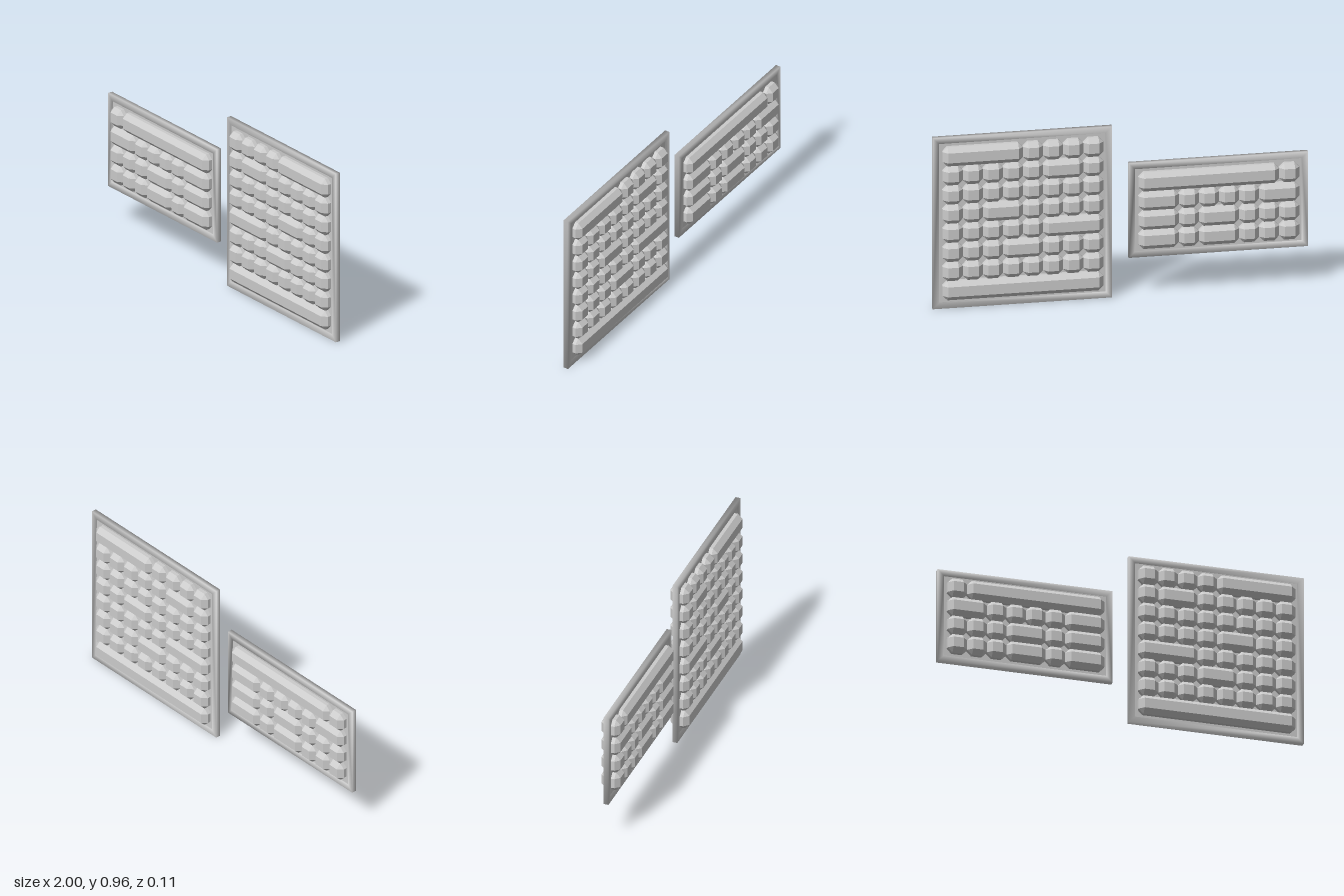
import * as THREE from 'three';
import { ConvexGeometry } from 'three/addons/geometries/ConvexGeometry.js';
import { mergeVertices } from 'three/addons/utils/BufferGeometryUtils.js';

const CELL = 0.107;     // pitch of the bead grid
const CHAMFER = 0.026;
const MARGIN = 0.05;    // from panel edge to first bead
const RIM = 0.034;      // width of the frame

// Each row, top to bottom, lists bead lengths in cells, left to right
const wideRows = [
  [1, 7],
  [2, 1, 1, 1, 1, 2],
  [1, 1, 1, 2, 1, 2],
  [1, 1, 1, 2, 1, 2],
];
const squareRows = [
  [1, 1, 1, 1, 4],
  [1, 2, 1, 1, 1, 1, 1],
  [1, 1, 1, 1, 1, 1, 1, 1],
  [1, 1, 1, 1, 2, 1, 1],
  [3, 1, 1, 1, 1, 1],
  [1, 1, 1, 2, 1, 1, 1],
  [1, 1, 1, 1, 1, 1, 1, 1],
  [8],
];

// Box with every edge and corner cut off
function chamferedBar(length) {
  const half = [length / 2, CELL / 2, CELL / 2];
  const points = [];
  for (const sx of [-1, 1]) for (const sy of [-1, 1]) for (const sz of [-1, 1]) {
    for (let full = 0; full < 3; full++) {
      const [x, y, z] = half.map((h, axis) => (axis === full ? h : h - CHAMFER));
      points.push(new THREE.Vector3(sx * x, sy * y, sz * z));
    }
  }
  return new ConvexGeometry(points);
}

// Rectangular ring with softly shaded edges
function frameGeometry(w, h, depth) {
  const rect = (path, x, y) =>
    path.moveTo(-x, -y).lineTo(x, -y).lineTo(x, y).lineTo(-x, y).closePath();
  const shape = rect(new THREE.Shape(), w / 2, h / 2);
  shape.holes.push(rect(new THREE.Path(), w / 2 - RIM, h / 2 - RIM));
  const g = new THREE.ExtrudeGeometry(shape, { depth, bevelEnabled: false });
  g.translate(0, 0, -depth / 2);
  g.deleteAttribute('normal');
  g.deleteAttribute('uv');
  const merged = mergeVertices(g);
  merged.computeVertexNormals();
  return merged;
}

export function createModel() {
  const model = new THREE.Group();
  const smooth = new THREE.MeshStandardMaterial({ color: 0xcccccc });
  const faceted = new THREE.MeshStandardMaterial({ color: 0xcccccc, flatShading: true });
  const bars = {};

  function addPanel(name, rows, centreX, centreY) {
    const panel = new THREE.Group();
    panel.name = name;
    panel.position.set(centreX, centreY, 0);
    const w = 8 * CELL + 2 * MARGIN;
    const h = rows.length * CELL + 2 * MARGIN;

    const add = (part, geometry, material) => {
      const mesh = new THREE.Mesh(geometry, material);
      mesh.name = part;
      panel.add(mesh);
      return mesh;
    };
    add('frame', frameGeometry(w, h, 0.027), smooth);
    add('backingSheet', new THREE.BoxGeometry(w - 2 * RIM, h - 2 * RIM, 0.016), faceted);

    // Rows of beads and longer bars
    rows.forEach((row, r) => {
      let x = -4 * CELL;
      for (const cells of row) {
        const length = cells * CELL;
        bars[cells] ??= chamferedBar(length);
        add(cells === 1 ? 'bead' : 'bar', bars[cells], faceted)
          .position.set(x + length / 2, (rows.length / 2 - r - 0.5) * CELL, 0);
        x += length;
      }
    });
    model.add(panel);
  }

  addPanel('widePanel', wideRows, -0.522, 0.478);
  addPanel('squarePanel', squareRows, 0.522, 0.478);
  return model;
}
